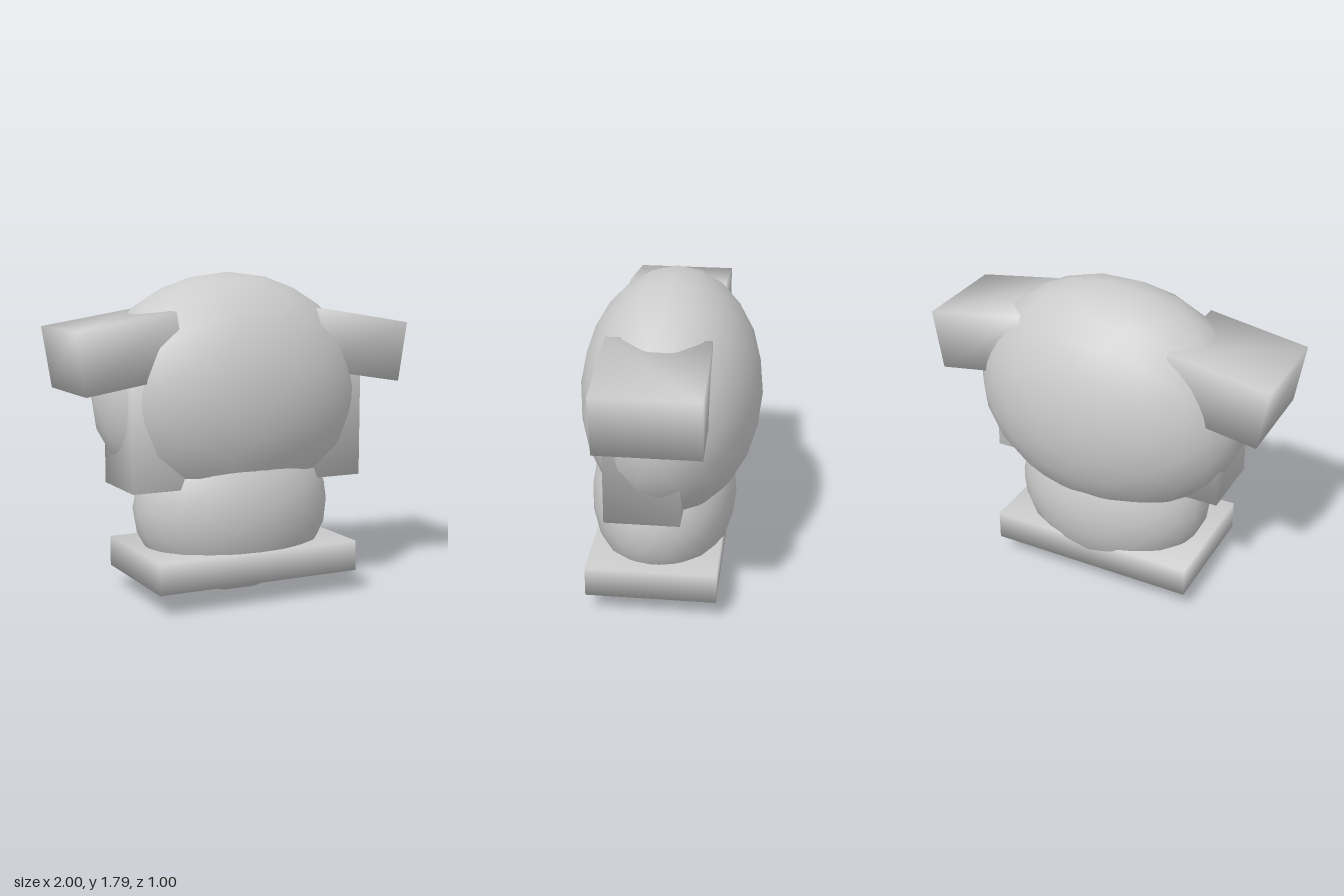
import * as THREE from 'three';
import { mergeVertices } from 'three/addons/utils/BufferGeometryUtils.js';

export function createModel() {
  const group = new THREE.Group();
  const material = new THREE.MeshStandardMaterial({ color: 0xcccccc });

  function add(name, geometry, x, y, z) {
    const mesh = new THREE.Mesh(geometry, material);
    mesh.name = name;
    mesh.position.set(x, y, z);
    group.add(mesh);
    return mesh;
  }

  // Ellipsoid from a subdivided icosahedron with smooth normals
  function ellipsoid(name, [rx, ry, rz], [x, y, z]) {
    const mesh = add(name, new THREE.IcosahedronGeometry(1, 3), x, y, z);
    mesh.scale.set(rx, ry, rz);
    return mesh;
  }

  // Box whose corners share one smooth normal
  function softBox(name, [w, h, d], [x, y, z]) {
    const box = new THREE.BoxGeometry(w, h, d);
    box.deleteAttribute('normal');
    box.deleteAttribute('uv');
    const geometry = mergeVertices(box);
    geometry.computeVertexNormals();
    return add(name, geometry, x, y, z);
  }

  // Rounded body masses
  ellipsoid('upperBody', [0.795, 0.67, 0.502], [0, 1.13, 0]);
  ellipsoid('lowerBody', [0.578, 0.495, 0.415], [0, 0.5, 0.045]);

  // Block through the torso and flat base slab
  softBox('torsoBlock', [1.39, 0.7, 0.405], [0, 1.0, 0.0875]);
  softBox('baseSlab', [1.2, 0.17, 0.725], [0, 0.21, 0.0575]);

  // Drooping arm blocks
  for (const side of [1, -1]) {
    const arm = softBox(side > 0 ? 'leftArm' : 'rightArm', [0.565, 0.34, 0.555], [side * 0.695, 1.3875, 0.0225]);
    arm.rotation.z = -side * 0.16;
  }

  return group;
}
